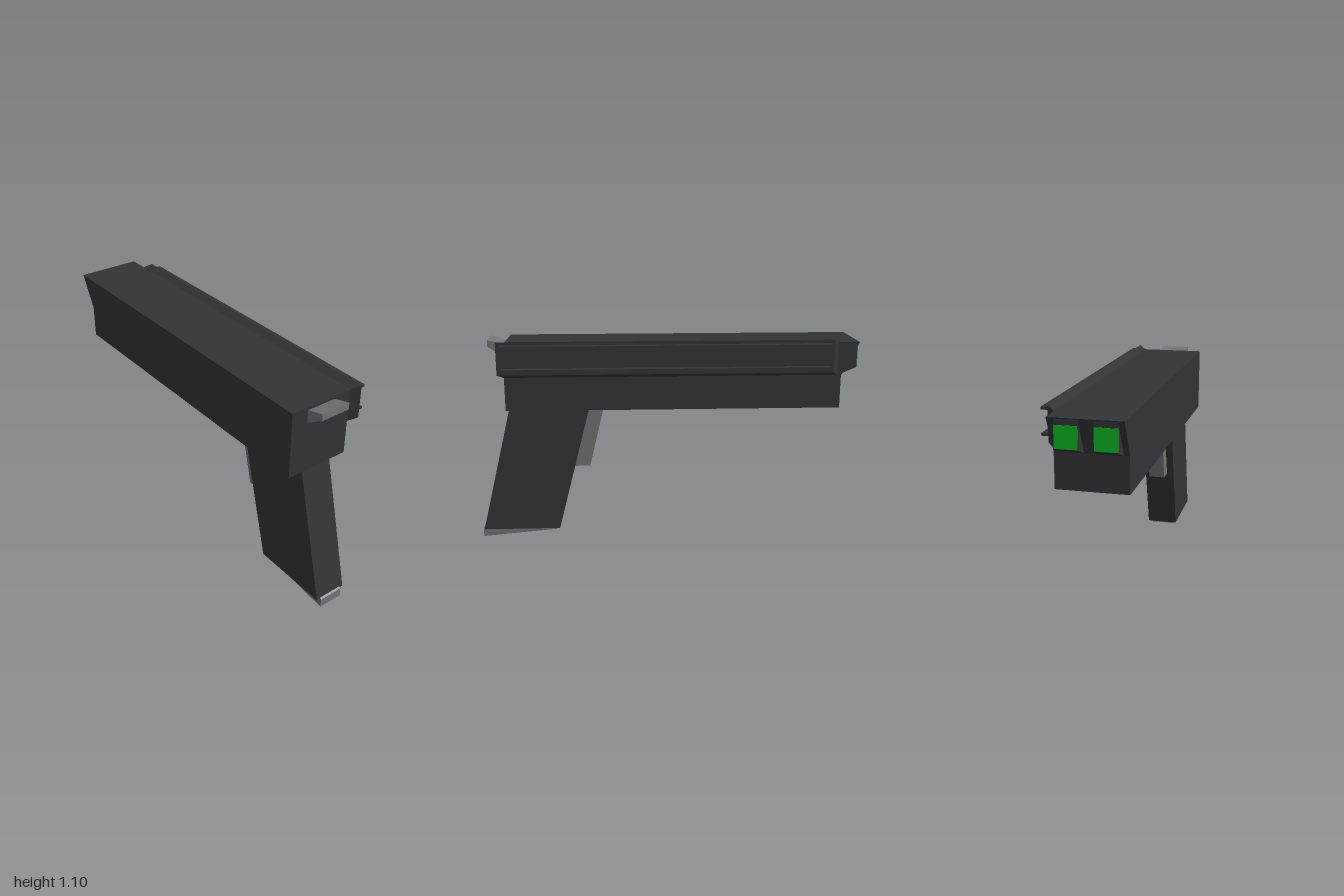
import * as THREE from 'three';

const material = (color) => new THREE.MeshStandardMaterial({ color, flatShading: true });
const dark = material(0x333338);
const grey = material(0x737373);
const green = material(0x0bb520);

export function createModel() {
  const model = new THREE.Group();

  const add = (name, geometry, mat) => {
    const mesh = new THREE.Mesh(geometry, mat);
    mesh.name = name;
    model.add(mesh);
    return mesh;
  };

  // Side profile of [z, y] points, extruded across the width from x0 to x1
  const slab = (name, x0, x1, points, mat) => {
    const shape = new THREE.Shape(points.map(([z, y]) => new THREE.Vector2(z, y)));
    const geometry = new THREE.ExtrudeGeometry(shape, { depth: x1 - x0, bevelEnabled: false });
    geometry.rotateY(-Math.PI / 2).translate(x1, 0, 0);
    return add(name, geometry, mat);
  };

  // Axis-aligned box from its limits
  const block = (x0, x1, y0, y1, z0, z1) =>
    new THREE.BoxGeometry(x1 - x0, y1 - y0, z1 - z0)
      .translate((x0 + x1) / 2, (y0 + y1) / 2, (z0 + z1) / 2);

  // Body with the overhanging wedge at the back end
  slab('body', -0.21, 0.13, [
    [0.83, 0.735], [0.83, 1.08], [-1, 1.08], [-0.91, 0.907], [-0.91, 0.735],
  ], dark);

  // Two lens housings, each with a green window
  for (const [side, x] of [['right', -0.13], ['left', 0.045]]) {
    slab(side + 'LensHousing', x - 0.053, x + 0.053, [
      [-0.9, 0.907], [-0.9, 1.078], [-0.997, 1.078], [-0.997, 0.943], [-0.91, 0.907],
    ], dark);
    add(side + 'Lens', block(x - 0.052, x + 0.052, 0.945, 1.048, -1, -0.99), green);
  }

  // Side plate, sheared up and forward as it leaves the body
  const plate = block(0.13, 0.17, 0.91, 1.08, -0.89, 0.83);
  const p = plate.attributes.position;
  for (let i = 0; i < p.count; i++) {
    const out = p.getX(i) - 0.13;
    p.setY(i, p.getY(i) + out * 0.5);
    p.setZ(i, p.getZ(i) + out * 0.75);
  }
  plate.computeVertexNormals();
  add('sidePlate', plate, dark);

  // Thin rails along the side plate
  for (const [name, y] of [['upperRail', 1.077], ['lowerRail', 0.959]]) {
    add(name, block(0.15, 0.21, y - 0.006, y + 0.006, -0.84, 0.84), dark);
  }

  // Front tab
  slab('frontTab', -0.12, 0.037, [
    [0.82, 0.995], [0.83, 1.0], [0.92, 1.055], [0.92, 1.09], [0.82, 1.062],
  ], grey);

  // Raked grip, its foot and the trigger
  slab('grip', -0.125, 0.045, [
    [0.82, 0.74], [0.4, 0.74], [0.58, 0.048], [0.992, 0.048],
  ], dark);
  slab('gripFoot', -0.105, 0.025, [
    [0.98, 0.06], [0.6, 0.06], [0.6, 0.035], [1, 0], [1, 0.048],
  ], grey);
  slab('trigger', -0.085, 0.005, [
    [0.41, 0.74], [0.323, 0.74], [0.408, 0.393], [0.5, 0.393],
  ], grey);

  return model;
}
